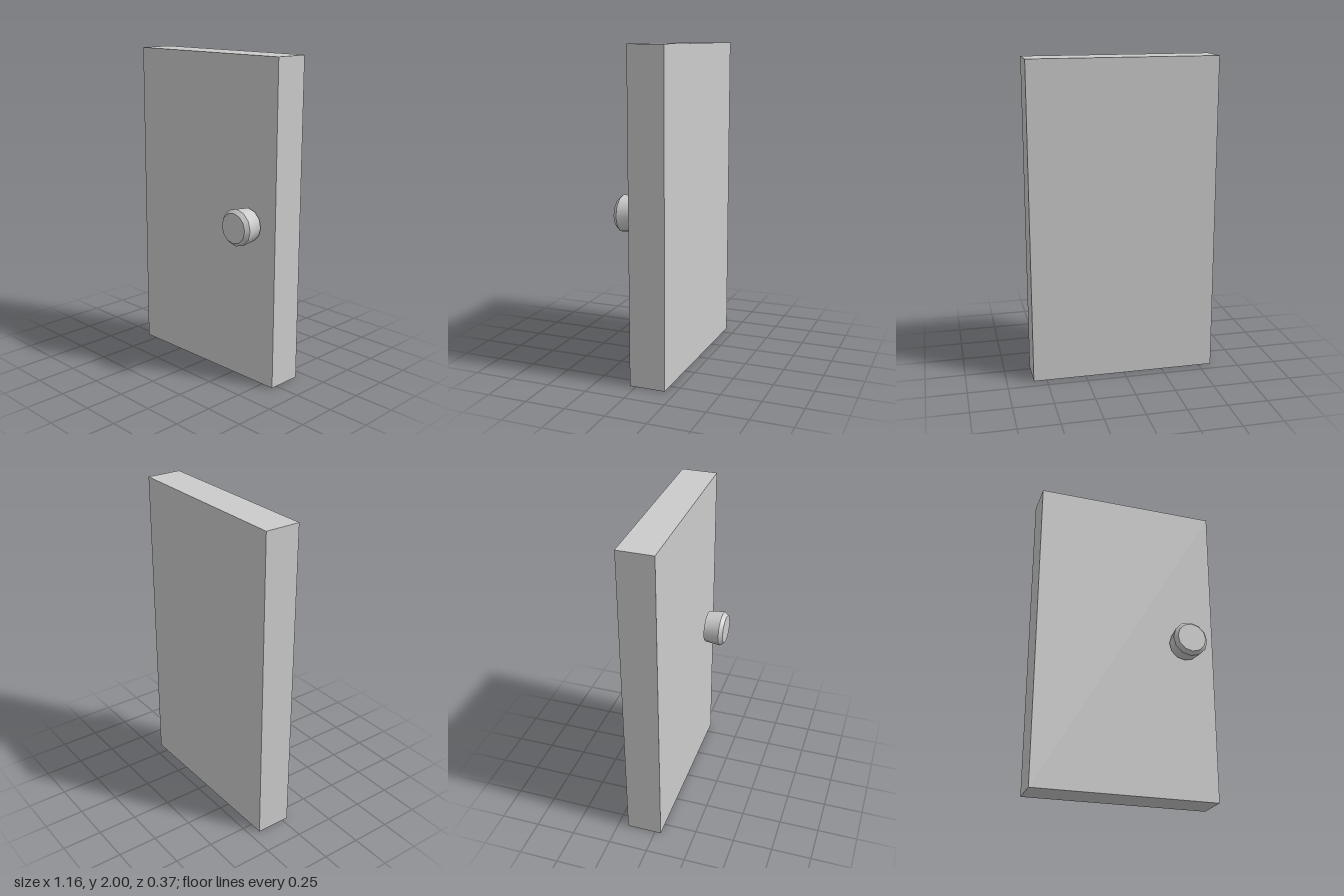
import * as THREE from 'three';
import { toCreasedNormals } from 'three/addons/utils/BufferGeometryUtils.js';

export function createModel() {
  const model = new THREE.Group();
  model.name = 'door';
  const grey = new THREE.MeshStandardMaterial({ color: 0xcccccc });

  // Door slab
  const panel = new THREE.Mesh(new THREE.BoxGeometry(1.165, 2, 0.223), grey);
  panel.name = 'doorPanel';
  panel.position.set(0, 1, -0.073);
  model.add(panel);

  // Twelve-sided knob: widens towards the front, then a bevelled rim and a flat face
  const profile = [[0, 0], [0.103, 0], [0.114, 0.102], [0.093, 0.127], [0, 0.127]]
    .map(([r, h]) => new THREE.Vector2(r, h));
  const knobShape = new THREE.LatheGeometry(profile, 12).rotateX(Math.PI / 2);
  const knob = new THREE.Mesh(toCreasedNormals(knobShape, THREE.MathUtils.degToRad(35)), grey);
  knob.name = 'doorKnob';
  knob.position.set(0.381, 1.003, 0.056);
  model.add(knob);

  return model;
}
